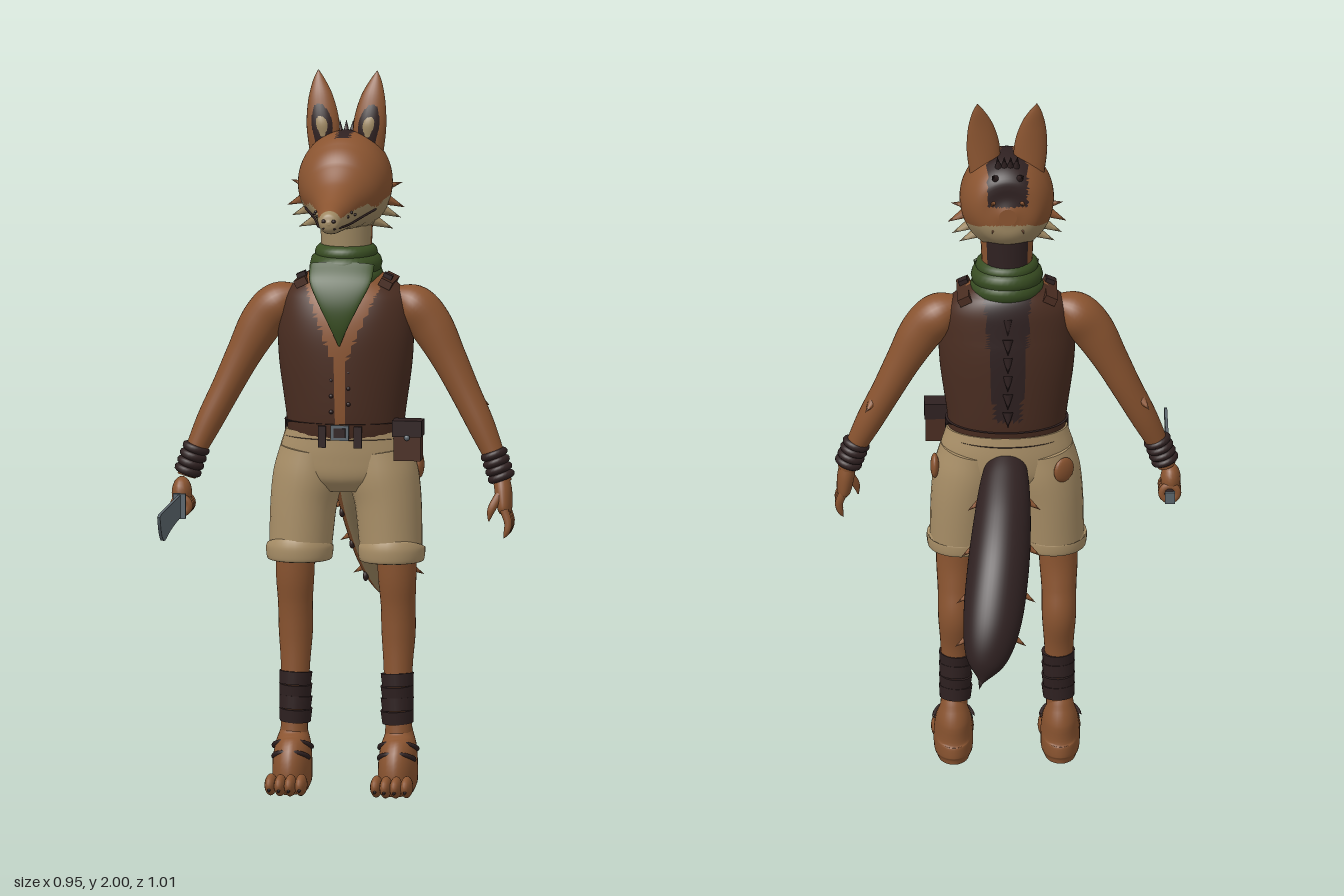
import * as THREE from 'three';

const V = (x, y, z) => new THREE.Vector3(x, y, z);
const mat = (name, color, side = THREE.FrontSide) => {
  const m = new THREE.MeshStandardMaterial({ color, side });
  m.name = name;
  return m;
};

export function createModel() {
  const fur = mat('fur', 0x8a5430), dark = mat('darkFur', 0x2f2121), vest = mat('leather', 0x4a2d21);
  const cream = mat('creamFur', 0xa08a64), cloth = mat('shortsCloth', 0xaa9068), green = mat('scarfGreen', 0x384d22);
  const steel = mat('steel', 0x5c666d), amber = mat('amber', 0xa87830);
  const root = new THREE.Group();

  const add = (name, geo, m, p = [0, 0, 0], r = [0, 0, 0], s = [1, 1, 1]) => {
    const mesh = new THREE.Mesh(geo, m);
    mesh.name = name;
    mesh.position.set(...p); mesh.rotation.set(...r); mesh.scale.set(...s);
    root.add(mesh);
    return mesh;
  };

  // Smooth elliptical loft through [x, y, z, radiusU, radiusV]; pick() may choose a material per face
  function loft(name, secs, m, { hint = V(1, 0, 0), n = 28, steps = 6, pick } = {}) {
    const path = new THREE.CatmullRomCurve3(secs.map(s => V(s[0], s[1], s[2])), false, 'catmullrom', 0.5);
    const radii = new THREE.CatmullRomCurve3(secs.map(s => V(s[3], s[4], 0)), false, 'catmullrom', 0.5);
    const rows = (secs.length - 1) * steps, pos = [], lists = new Map();
    for (let i = 0; i <= rows; i++) {
      const c = path.getPoint(i / rows), r = radii.getPoint(i / rows), t = path.getTangent(i / rows);
      const u = hint.clone().addScaledVector(t, -hint.dot(t)).normalize(), v = t.clone().cross(u);
      for (let j = 0; j < n; j++) {
        const a = j / n * Math.PI * 2;
        const p = c.clone().addScaledVector(u, Math.cos(a) * Math.max(r.x, 0.001)).addScaledVector(v, Math.sin(a) * Math.max(r.y, 0.001));
        pos.push(p.x, p.y, p.z);
      }
    }
    const face = (a, b, c, ang) => {
      const q = k => (pos[a * 3 + k] + pos[b * 3 + k] + pos[c * 3 + k]) / 3;
      const key = pick ? pick(q(0), q(1), q(2), ang) : m;
      if (!lists.has(key)) lists.set(key, []);
      lists.get(key).push(a, b, c);
    };
    for (let i = 0; i < rows; i++) for (let j = 0; j < n; j++) {
      const k = (j + 1) % n, a = i * n + j, b = i * n + k, ang = (j + 0.5) / n * Math.PI * 2;
      face(a, b, b + n, ang); face(a, b + n, a + n, ang);
    }
    // flat end caps on their own vertices
    for (const [row, flip] of [[0, true], [rows, false]]) {
      const base = pos.length / 3;
      for (let j = 0; j < n; j++) pos.push(...pos.slice((row * n + j) * 3, (row * n + j) * 3 + 3));
      for (let j = 1; j < n - 1; j++) flip ? face(base, base + j + 1, base + j, 0) : face(base, base + j, base + j + 1, 0);
    }
    const g = new THREE.BufferGeometry(), index = [], mats = [];
    for (const [key, list] of lists) {
      g.addGroup(index.length, list.length, mats.length);
      mats.push(key);
      for (const k of list) index.push(k);
    }
    g.setAttribute('position', new THREE.Float32BufferAttribute(pos, 3));
    g.setIndex(index);
    g.computeVertexNormals();
    return add(name, g, mats.length > 1 ? mats : mats[0]);
  }
  const ball = (name, m, p, s, r) => add(name, new THREE.SphereGeometry(1, 18, 12), m, p, r, s);
  const box = (name, m, p, s, r) => add(name, new THREE.BoxGeometry(...s), m, p, r);
  const spike = (name, m, p, d, len, r) => {
    const dir = V(...d).normalize();
    add(name, new THREE.ConeGeometry(r, len, 8), m, V(...p).addScaledVector(dir, len / 2).toArray())
      .quaternion.setFromUnitVectors(V(0, 1, 0), dir);
  };
  const tube = (name, m, pts, r) => add(name, new THREE.TubeGeometry(new THREE.CatmullRomCurve3(pts.map(p => V(...p))), 24, r, 8), m);

  // Torso: open vest with bare chest in front and a dark mane down the back
  loft('torsoAndVest', [[0, 0.98, 0.01, 0.16, 0.1], [0, 1.05, 0.012, 0.165, 0.115], [0, 1.2, 0.012, 0.185, 0.125],
    [0, 1.3, 0.01, 0.187, 0.122], [0, 1.38, 0, 0.172, 0.105], [0, 1.43, 0, 0.12, 0.085], [0, 1.46, 0, 0.07, 0.06]], vest, {
    n: 72, steps: 10,
    pick: (x, y, z) => z > 0 && Math.abs(x) < 0.014 + Math.max(0, y - 1.2) * 0.42 ? fur
      : z < 0 && Math.abs(x) < 0.03 + (y - 1) * 0.08 && y > 1.07 ? dark : vest });
  for (let i = 0; i < 6; i++) {
    spike('backMane', dark, [0, 1.1 + i * 0.055, i > 4 ? -0.095 : -0.108], [0, -1, -0.35], 0.045, 0.015);
    ball('vestButton', dark, [i % 2 ? 0.024 : -0.024, 1.07 + i * 0.022, 0.13], [0.006, 0.006, 0.006]);
  }

  // Shorts and belt
  loft('shortsSeat', [[0, 0.84, 0.005, 0.1, 0.07], [0, 0.88, 0.005, 0.175, 0.1], [0, 0.94, 0.005, 0.186, 0.108], [0, 1.01, 0.008, 0.167, 0.108]], cloth);
  loft('belt', [[0, 0.99, 0.01, 0.17, 0.117], [0, 1.035, 0.01, 0.17, 0.12]], dark, { steps: 1, n: 40 });
  box('beltBuckle', steel, [0, 1.012, 0.131], [0.05, 0.042, 0.008]);
  box('buckleCentre', dark, [0, 1.012, 0.134], [0.032, 0.026, 0.008]);
  for (const x of [-0.05, 0.05]) box('beltTab', dark, [x, 1.0, 0.127], [0.022, 0.06, 0.01]);
  box('pouch', vest, [0.185, 0.985, 0.088], [0.075, 0.1, 0.05]);
  box('pouchFlap', dark, [0.185, 1.025, 0.09], [0.082, 0.045, 0.058]);
  ball('pouchButton', steel, [0.185, 1.0, 0.118], [0.008, 0.008, 0.006]);
  ball('sidePatch', fur, [0.2, 0.905, -0.03], [0.012, 0.036, 0.028]);
  ball('rearPatch', fur, [-0.155, 0.91, -0.078], [0.034, 0.036, 0.012], [0, 0.65, 0]);

  // Neck, scarf and bandana point
  loft('neck', [[0, 1.42, -0.005, 0.075, 0.072], [0, 1.5, -0.003, 0.07, 0.07], [0, 1.62, 0, 0.075, 0.075]], cream, { pick: (x, y, z) => z > 0.01 ? cream : z < -0.05 ? dark : fur });
  [[1.435, 0.073, 0.03], [1.47, 0.068, 0.032], [1.5, 0.064, 0.023]].forEach(([y, R, r], i) =>
    add('scarfRoll', new THREE.TorusGeometry(R, r, 12, 36), green, [0, y, 0.004], [Math.PI / 2 + 0.12 - i * 0.05, 0, 0]));
  loft('bandanaPoint', [[0, 1.475, 0.085, 0.09, 0.012], [0, 1.43, 0.125, 0.085, 0.009], [0, 1.37, 0.148, 0.056, 0.007],
    [0, 1.31, 0.152, 0.026, 0.005], [0, 1.255, 0.142, 0.002, 0.002]], green);

  // Head and long muzzle
  loft('head', [[0, 1.69, -0.106, 0.025, 0.025], [0, 1.69, -0.088, 0.085, 0.09], [0, 1.695, -0.04, 0.12, 0.132], [0, 1.695, 0.02, 0.13, 0.143],
    [0, 1.685, 0.07, 0.124, 0.128], [0, 1.668, 0.12, 0.103, 0.1], [0, 1.65, 0.18, 0.07, 0.07], [0, 1.634, 0.25, 0.047, 0.049],
    [0, 1.627, 0.31, 0.035, 0.036], [0, 1.626, 0.338, 0.025, 0.025], [0, 1.626, 0.347, 0.004, 0.004]], fur, {
    n: 64, steps: 8,
    pick: (x, y, z) => y < (z > 0.15 ? 1.655 - (z - 0.15) * 0.1 : 1.655 + 0.012 * Math.sin(z * 40)) || z > 0.325 ? cream
      : y > 1.72 && (Math.abs(x) < 0.055 && z < 0.02 || Math.abs(x) < 0.02 && z < 0.075) ? dark : fur });
  for (const s of [1, -1]) {
    tube('mouthLine', dark, [[s * 0.012, 1.61, 0.344], [s * 0.033, 1.612, 0.31], [s * 0.046, 1.612, 0.25], [s * 0.066, 1.62, 0.18], [s * 0.098, 1.635, 0.115]], 0.003);
    ball('nostril', dark, [s * 0.014, 1.632, 0.344], [0.006, 0.005, 0.006]);
    ball('eyeRim', dark, [s * 0.078, 1.729, 0.106], [0.028, 0.017, 0.012], [-0.5, s * 0.75, -s * 0.15]);
    ball('iris', amber, [s * 0.081, 1.73, 0.111], [0.017, 0.012, 0.01], [-0.5, s * 0.75, 0]);
    ball('pupil', dark, [s * 0.084, 1.731, 0.118], [0.006, 0.008, 0.006]);
    // ears with dark lining and pale fluff
    const ear = (k, dz) => [[0.062, 1.77, 0], [0.065, 1.85, 0.002], [0.072, 1.92, -0.006], [0.079, 1.97, -0.018], [0.082, 2, -0.026]]
      .map(([x, y, z], i) => [s * x, 1.86 + (y - 1.86) * k, z + dz, [0.04, 0.046, 0.036, 0.018, 0.001][i] * k, [0.026, 0.026, 0.019, 0.01, 0.001][i] * k]);
    loft('ear', ear(1, 0), fur, { n: 20 });
    loft('earLining', ear(0.76, 0.009), dark, { n: 20 });
    loft('earFluff', ear(0.42, 0.02), cream, { n: 16 });
    // cheek tufts
    [[0.1, 1.68, 0], [0.112, 1.65, 0.02], [0.1, 1.62, 0.01], [0.08, 1.59, 0.02]].forEach((p, i) =>
      spike('cheekTuft', i < 2 ? fur : cream, [s * p[0], p[1], p[2]], [s, -0.45 + (i === 0) * 0.7, -0.2], 0.058, 0.016));
    for (let i = 0; i < 3; i++) {
      spike('napeTuft', i ? fur : dark, [s * 0.03, 1.79 - i * 0.06, -0.07], [s * 0.3, 0.6 - i * 0.6, -0.8], 0.05, 0.014);
      ball('whiskerSpot', dark, [s * (0.043 + i * 0.007), 1.635 + (i % 2) * 0.009, 0.27 - i * 0.022], [0.004, 0.004, 0.004]);
    }
  }
  for (const x of [-0.024, -0.008, 0.008, 0.024]) spike('crest', dark, [x, 1.815, -0.05], [x * 4, 1, -0.35], 0.045, 0.011);

  for (const s of [1, -1]) {
    // Arms and wrist wraps
    loft('arm', [[s * 0.13, 1.385, 0, 0.03, 0.025], [s * 0.185, 1.355, 0, 0.06, 0.058], [s * 0.235, 1.3, 0.002, 0.054, 0.06], [s * 0.285, 1.21, 0.004, 0.047, 0.049],
      [s * 0.33, 1.12, 0.008, 0.043, 0.042], [s * 0.38, 1.02, 0.017, 0.038, 0.037], [s * 0.425, 0.92, 0.03, 0.027, 0.027], [s * 0.44, 0.87, 0.036, 0.026, 0.026]], fur, { hint: V(0, 0, 1) });
    for (let i = 0; i < 4; i++)
      add('wristWrap', new THREE.TorusGeometry(0.028, 0.011, 10, 24), dark, [s * (0.415 + i * 0.007), 0.947 - i * 0.02, 0.028 + i * 0.003], [Math.PI / 2, s * 0.35, 0]);
    spike('elbowTuft', fur, [s * 0.37, 1.09, -0.008], [s * 0.5, -0.4, -0.8], 0.045, 0.014);
    box('shoulderStrap', vest, [s * 0.118, 1.42, 0], [0.035, 0.022, 0.14], [0, 0, -s * 0.45]);
    box('strapStud', dark, [s * 0.118, 1.432, 0.03], [0.026, 0.025, 0.025], [0, 0, -s * 0.4]);

    // Trouser legs with rolled cuffs
    loft('shortsLeg', [[s * 0.095, 0.95, 0.005, 0.088, 0.098], [s * 0.105, 0.88, 0.006, 0.097, 0.102], [s * 0.118, 0.8, 0.008, 0.092, 0.098], [s * 0.127, 0.66, 0.014, 0.086, 0.088]], cloth);
    loft('shortsCuff', [[s * 0.128, 0.642, 0.015, 0.08, 0.08], [s * 0.128, 0.648, 0.015, 0.09, 0.09], [s * 0.128, 0.68, 0.015, 0.093, 0.093], [s * 0.128, 0.688, 0.014, 0.085, 0.086]], cloth);
    // Shins, ankle wraps and feet
    loft('leg', [[s * 0.14, 0.7, 0.01, 0.055, 0.056], [s * 0.142, 0.6, 0.006, 0.053, 0.052], [s * 0.143, 0.52, -0.005, 0.048, 0.05], [s * 0.143, 0.44, -0.014, 0.047, 0.052],
      [s * 0.143, 0.34, -0.005, 0.04, 0.04], [s * 0.145, 0.2, 0, 0.037, 0.037], [s * 0.147, 0.1, 0, 0.04, 0.045]], fur);
    for (let i = 0; i < 4; i++)
      add('ankleWrap', new THREE.CylinderGeometry(0.046, 0.043, 0.036, 24), dark, [s * 0.142, 0.31 - i * 0.034, 0], [i % 2 ? 0.06 : -0.06, 0, s * 0.05]);
    loft('foot', [[s * 0.147, 0.003, 0.022, 0.043, 0.085], [s * 0.147, 0.03, 0.024, 0.053, 0.094], [s * 0.147, 0.08, 0.022, 0.054, 0.09],
      [s * 0.147, 0.13, 0.002, 0.048, 0.066], [s * 0.147, 0.165, -0.004, 0.038, 0.042], [s * 0.147, 0.2, 0, 0.03, 0.03]], fur);
    for (let i = 0; i < 4; i++) {
      const x = s * (0.105 + i * 0.028), z = 0.148 + (i === 1 || i === 2 ? 0.012 : 0);
      ball('toe', fur, [x, 0.032, z], [0.017, 0.03, 0.044]);
      spike('toeClaw', dark, [x, 0.025, z + 0.03], [0, -0.35, 1], 0.026, 0.008);
    }
    for (const [y, z, r] of [[0.12, 0.05, 0.052], [0.095, 0.085, 0.048]])
      add('footStrap', new THREE.TorusGeometry(r, 0.007, 8, 24, Math.PI), dark, [s * 0.147, y, z - 0.035], [1.15, 0, 0]);
  }

  // Open left hand
  loft('leftPalm', [[0.437, 0.885, 0.036, 0.025, 0.022], [0.443, 0.845, 0.042, 0.034, 0.024], [0.448, 0.8, 0.05, 0.036, 0.02], [0.449, 0.785, 0.052, 0.025, 0.014]], fur, { hint: V(0, 0, 1) });
  for (let i = 0; i < 4; i++) {
    const z = 0.026 + i * 0.018;
    loft('leftFinger', [[0.45, 0.8, z, 0.01, 0.012], [0.462, 0.765, z + 0.004, 0.01, 0.011], [0.458, 0.738, z + 0.007, 0.008, 0.008], [0.45, 0.722, z + 0.008, 0.001, 0.001]], fur, { hint: V(0, 0, 1), n: 12, steps: 4 });
  }
  loft('leftThumb', [[0.435, 0.84, 0.065, 0.011, 0.012], [0.415, 0.8, 0.08, 0.011, 0.011], [0.408, 0.768, 0.084, 0.002, 0.002]], fur, { hint: V(0, 0, 1), n: 12 });

  // Right fist holding a broad blade
  ball('rightPalm', fur, [-0.452, 0.825, 0.045], [0.028, 0.045, 0.04]);
  for (let i = 0; i < 4; i++)
    add('rightFinger', new THREE.TorusGeometry(0.021, 0.011, 10, 20), fur, [-0.449, 0.793, 0.017 + i * 0.02]);
  add('knifeHandle', new THREE.CylinderGeometry(0.014, 0.014, 0.13, 16), dark, [-0.449, 0.795, 0.045], [Math.PI / 2, 0, 0]);
  box('pommel', steel, [-0.449, 0.795, -0.02], [0.028, 0.034, 0.01]);
  box('knifeGuard', steel, [-0.449, 0.796, 0.111], [0.034, 0.07, 0.012]);
  const blade = new THREE.Shape();
  blade.moveTo(0.11, 0.765); blade.quadraticCurveTo(0.3, 0.762, 0.4, 0.745);
  blade.quadraticCurveTo(0.48, 0.738, 0.512, 0.822); blade.lineTo(0.49, 0.828); blade.lineTo(0.11, 0.828);
  add('blade', new THREE.ExtrudeGeometry(blade, { depth: 0.008, bevelEnabled: false, curveSegments: 10 }), steel, [-0.445, 0, 0], [0, -Math.PI / 2, 0]);

  // Thick tail, dark above and pale below, with spots and side tufts
  loft('tail', [[0, 0.95, -0.05, 0.045, 0.035], [0.008, 0.9, -0.12, 0.066, 0.052], [0.018, 0.815, -0.215, 0.079, 0.073], [0.032, 0.715, -0.315, 0.085, 0.08],
    [0.05, 0.6, -0.405, 0.08, 0.069], [0.068, 0.51, -0.457, 0.056, 0.045], [0.08, 0.452, -0.482, 0.004, 0.004]], fur, {
    n: 48, steps: 8, pick: (x, y, z, a) => Math.sin(a) < 0.05 ? dark : Math.sin(a) > 0.72 ? cream : fur });
  [[0.012, 0.86, -0.165, 0.07], [0.023, 0.765, -0.26, 0.08], [0.038, 0.665, -0.35, 0.08], [0.055, 0.565, -0.42, 0.068]].forEach(([x, y, z, r]) => {
    for (const s of [1, -1]) {
      spike('tailTuft', fur, [x + s * r * 0.85, y, z], [s, -0.6, -0.35], 0.05, 0.013);
      ball('tailSpot', dark, [x + s * r * 0.86, y - 0.027, z + 0.027], [0.008, 0.014, 0.014]);
    }
  });
  spike('tailTip', dark, [0.078, 0.47, -0.47], [0.2, -0.7, -0.4], 0.04, 0.014);

  return root;
}
